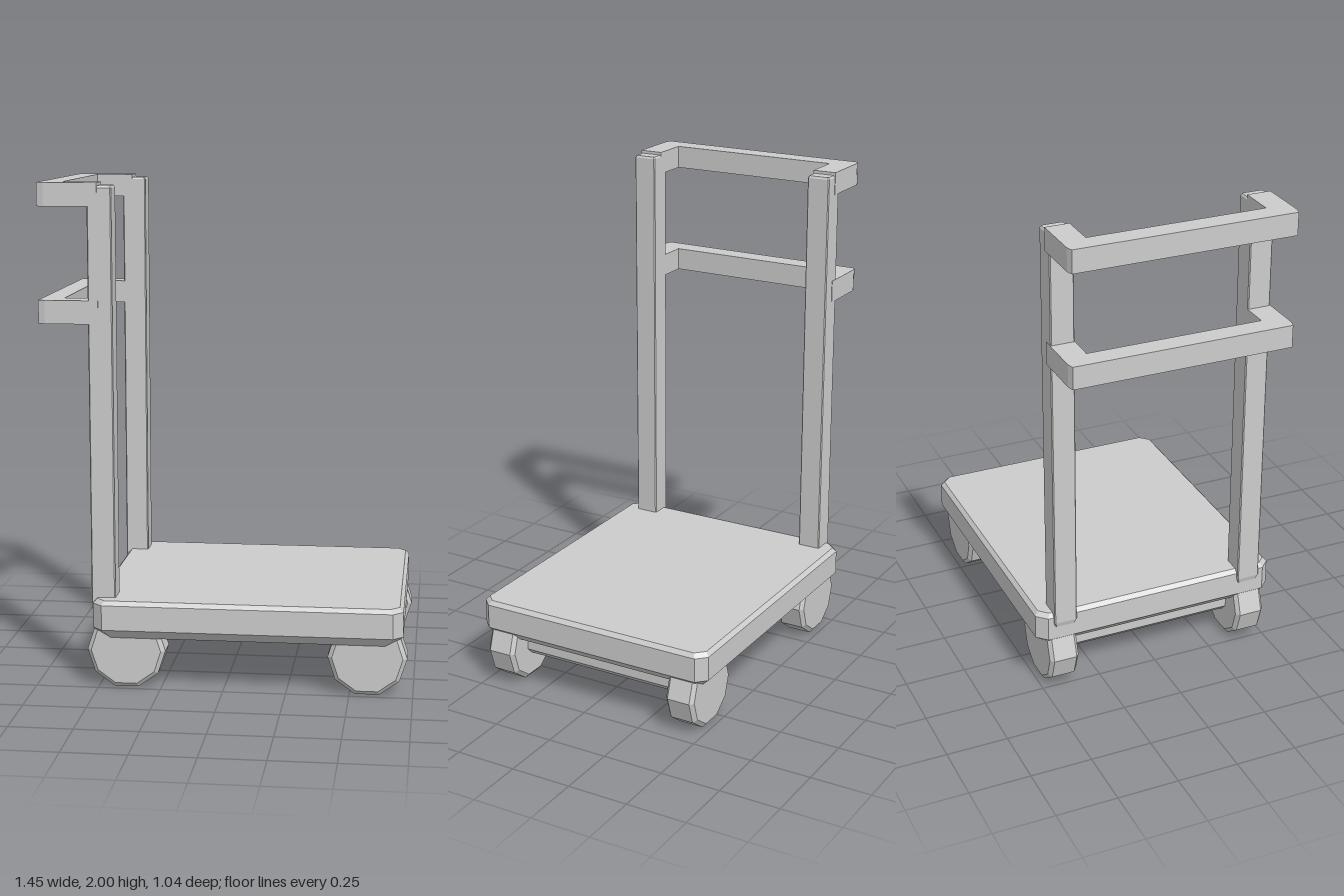
import * as THREE from 'three';

// Solid from stacked chamfered rectangles: each ring is [y, halfX, halfZ, chamfer]
function chamferedStack(rings) {
  const pos = [], idx = [];
  for (const [y, a, b, c] of rings) {
    const corners = [[a, b - c], [a - c, b], [c - a, b], [-a, b - c],
      [-a, c - b], [c - a, -b], [a - c, -b], [a, c - b]];
    for (const [x, z] of corners) pos.push(x, y, z);
  }
  const last = (rings.length - 1) * 8;
  for (let r = 0; r < last; r += 8) {
    for (let i = 0; i < 8; i++) {
      const j = (i + 1) % 8;
      idx.push(r + i, r + 8 + i, r + j, r + j, r + 8 + i, r + 8 + j);
    }
  }
  for (let i = 1; i < 7; i++) {
    idx.push(0, i, i + 1);
    idx.push(last, last + i + 1, last + i);
  }
  const geo = new THREE.BufferGeometry();
  geo.setAttribute('position', new THREE.Float32BufferAttribute(pos, 3));
  geo.setIndex(idx);
  geo.computeVertexNormals();
  return geo;
}

export function createModel() {
  const group = new THREE.Group();
  const grey = new THREE.MeshStandardMaterial({ color: 0xcccccc, flatShading: true });
  grey.name = 'light grey';

  const add = (name, geo, x, y, z) => {
    const mesh = new THREE.Mesh(geo, grey);
    mesh.name = name;
    mesh.position.set(x, y, z);
    group.add(mesh);
    return mesh;
  };

  // Load platform with bevelled rims
  add('platform', chamferedStack([
    [0.203, 0.575, 0.48, 0.03],
    [0.243, 0.615, 0.52, 0.04],
    [0.343, 0.615, 0.52, 0.04],
    [0.36, 0.6, 0.505, 0.035],
  ]), 0.095, 0, 0);

  // Upright posts
  const post = chamferedStack([
    [0.3, 0.042, 0.042, 0.004],
    [0.32, 0.048, 0.048, 0.004],
    [1.98, 0.048, 0.048, 0.004],
    [1.988, 0.043, 0.043, 0.004],
  ]);
  for (const s of [1, -1]) add(s > 0 ? 'leftPost' : 'rightPost', post, -0.482, 0, s * 0.408);

  // U-shaped handles, drawn in plan (x, z) and extruded upward
  const half = [[-0.49, 0.36], [-0.64, 0.36]];
  const outer = [[-0.727, 0.45], [-0.7, 0.458], [-0.49, 0.458]];
  const flip = (list) => list.map(([x, z]) => [x, -z]).reverse();
  const outline = [...half, ...flip(half), ...flip(outer), ...flip(flip(outer))]
    .map(([x, z]) => new THREE.Vector2(x, z));
  const handle = new THREE.ExtrudeGeometry(new THREE.Shape(outline), { depth: 0.092, bevelEnabled: false });
  handle.rotateX(-Math.PI / 2);
  add('topHandle', handle, 0, 1.908, 0);
  add('middleHandle', handle, 0, 1.453, 0);

  // Ten-sided wheels with bevelled edges, joined by eight-sided axles
  const profile = [[0, -0.062], [0.14, -0.062], [0.157, -0.048], [0.157, 0.048], [0.14, 0.062], [0, 0.062]]
    .map(([r, h]) => new THREE.Vector2(r, h));
  const wheel = new THREE.LatheGeometry(profile, 10, Math.PI / 2).rotateX(Math.PI / 2);
  const axle = new THREE.CylinderGeometry(0.05, 0.05, 0.74, 8, 1, false, Math.PI / 8).rotateX(Math.PI / 2);
  for (const [end, x] of [['handleEnd', -0.39], ['farEnd', 0.57]]) {
    add(end + 'Axle', axle, x, 0.154, 0);
    for (const s of [1, -1]) add(end + (s > 0 ? 'LeftWheel' : 'RightWheel'), wheel, x, 0.15, s * 0.418);
  }

  return group;
}
